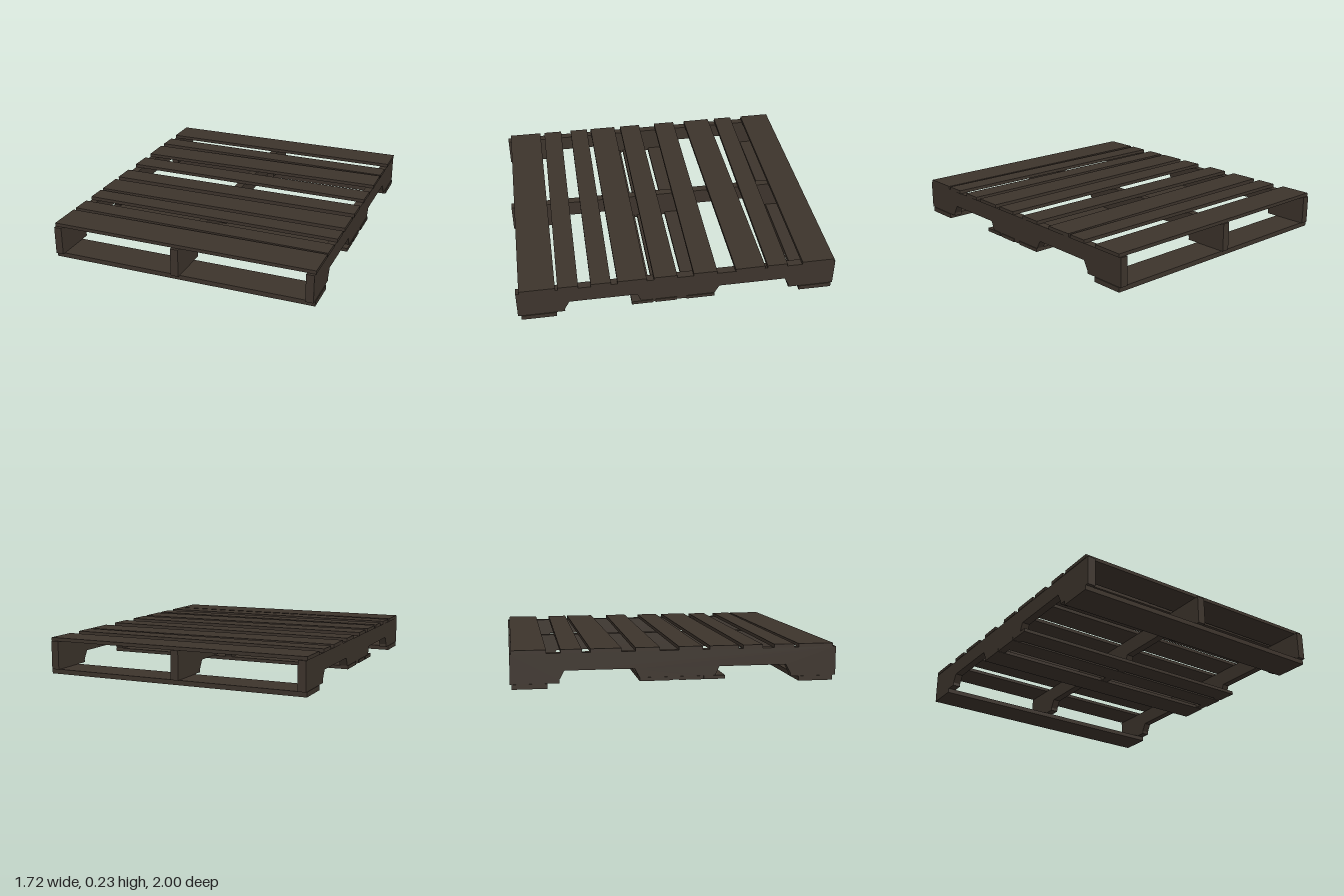
import * as THREE from 'three';

export function createModel() {
  const pallet = new THREE.Group();
  pallet.name = 'pallet';
  const wood = new THREE.MeshStandardMaterial({ color: 0x3d342c });
  wood.name = 'darkWood';

  const add = (geometry, name) => {
    const mesh = new THREE.Mesh(geometry, wood);
    mesh.name = name;
    pallet.add(mesh);
    return mesh;
  };

  // A plank across the pallet; skew is how far its left end sits ahead of its right end
  const plank = (name, z0, z1, y0, y1, skew = 0, length = 1.72) => {
    const mesh = add(new THREE.BoxGeometry(length, y1 - y0, z1 - z0), name);
    mesh.position.set(0, (y0 + y1) / 2, (z0 + z1) / 2);
    mesh.rotation.y = -Math.atan2(skew, length);
  };

  // Stringers: side profile (z, y) with two fork notches along the bottom
  const profile = new THREE.Shape([
    [-1, 0.03], [-0.71, 0.03], [-0.71, 0.05], [-0.68, 0.105],
    [-0.26, 0.105], [-0.23, 0.05], [-0.23, 0.03],
    [0.235, 0.03], [0.235, 0.05], [0.26, 0.105],
    [0.68, 0.105], [0.71, 0.05], [0.71, 0.03],
    [1, 0.03], [1, 0.21], [-1, 0.21],
  ].map(([z, y]) => new THREE.Vector2(z, y)));
  const stringer = new THREE.ExtrudeGeometry(profile, { depth: 0.05, bevelEnabled: false });
  stringer.translate(0, 0, -0.025).rotateY(-Math.PI / 2);
  [['rightStringer', -0.832], ['middleStringer', -0.025], ['leftStringer', 0.83]].forEach(([name, x]) => {
    add(stringer, name).position.x = x;
  });

  // Deck boards, some nailed slightly askew
  [
    [-0.99, -0.785, 0], [-0.695, -0.568, 0.014], [-0.535, -0.348, -0.02],
    [-0.248, -0.1, 0.014], [0.01, 0.155, 0], [0.2, 0.38, 0],
    [0.415, 0.538, 0.012], [0.612, 0.738, 0.016], [0.76, 0.98, 0],
  ].forEach(([z0, z1, skew], i) => plank(`deckBoard${i + 1}`, z0, z1, 0.21, 0.232, skew));

  // Bottom end boards
  plank('frontBottomBoard', 0.762, 0.98, 0, 0.03);
  plank('backBottomBoard', -0.99, -0.78, 0, 0.03);

  // Middle bottom boards, let into the stringers
  [[-0.23, -0.05], [0.01, 0.145], [0.163, 0.295]].forEach(([z0, z1], i) =>
    plank(`middleBottomBoard${i + 1}`, z0, z1, 0.028, 0.05));

  return pallet;
}
